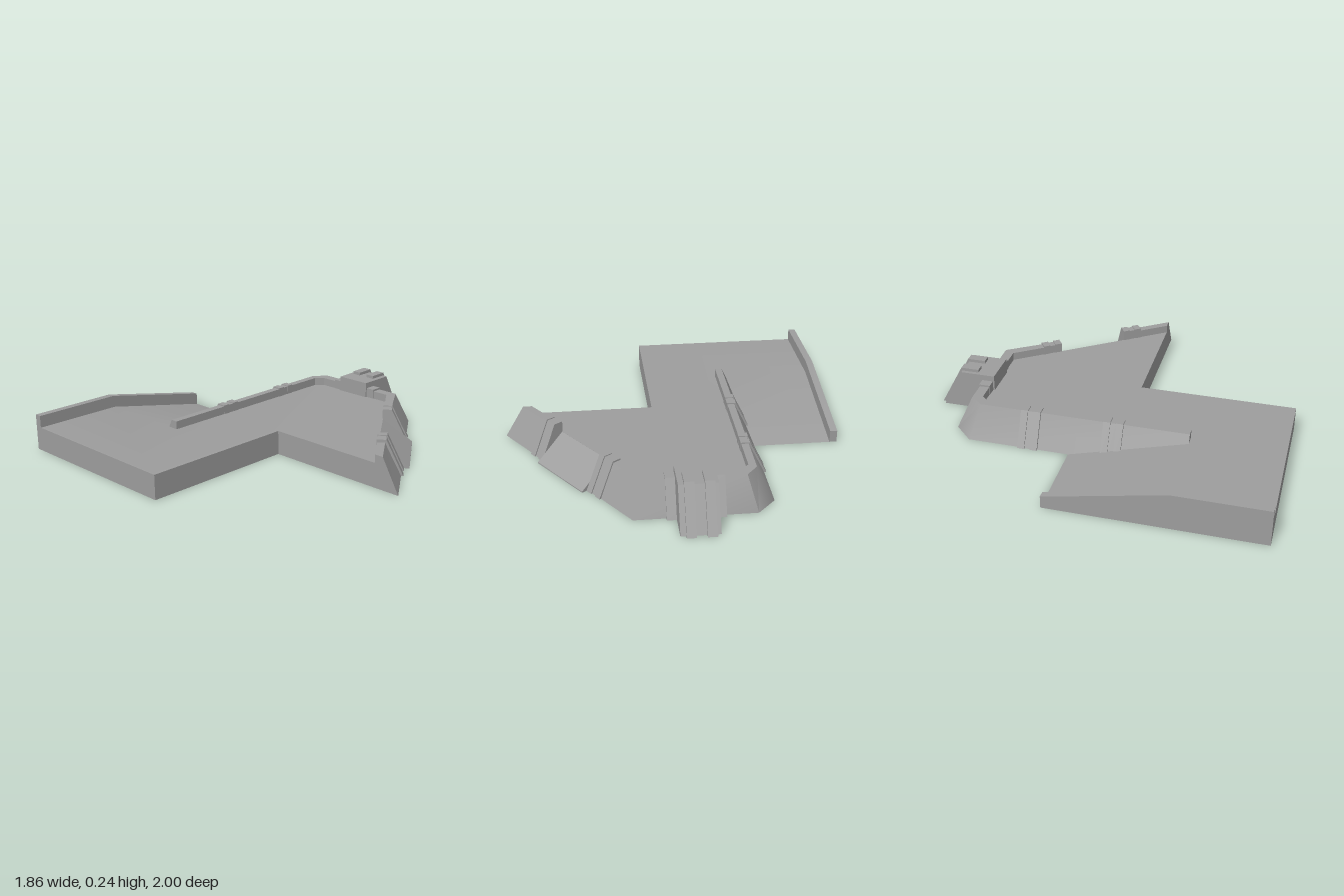
import * as THREE from 'three';
import { mergeGeometries, toCreasedNormals } from 'three/addons/utils/BufferGeometryUtils.js';

const material = new THREE.MeshStandardMaterial({ color: 0x9d9d9d });
const DECK = 0.135;
const CREASE = 0.77;

// Mesh with gentle bends smoothed and sharp edges kept
function makeMesh(name, geometry) {
  const mesh = new THREE.Mesh(toCreasedNormals(geometry, CREASE), material);
  mesh.name = name;
  return mesh;
}

// Closed solid through a row of matching convex rings of [x, y, z] points
function loft(rings) {
  const pos = [];
  const n = rings[0].length;
  const tri = (a, b, c) => pos.push(...a, ...b, ...c);
  for (let r = 0; r + 1 < rings.length; r++) {
    const p = rings[r], q = rings[r + 1];
    for (let i = 0; i < n; i++) {
      const j = (i + 1) % n;
      tri(p[i], q[i], q[j]);
      tri(p[i], q[j], p[j]);
    }
  }
  const first = rings[0], last = rings[rings.length - 1];
  for (let i = 1; i + 1 < n; i++) {
    tri(first[0], first[i], first[i + 1]);
    tri(last[0], last[i + 1], last[i]);
  }
  const geo = new THREE.BufferGeometry();
  geo.setAttribute('position', new THREE.Float32BufferAttribute(pos, 3));
  geo.computeVertexNormals();
  return geo;
}

// A straight run has an origin and a direction (x, z); outward is to its side
const makeLine = (x, z, dx, dz) => {
  const l = Math.hypot(dx, dz);
  return { x, z, dx: dx / l, dz: dz / l };
};

// Profile of [outward, height] points swept from s0 to s1 along a line
function sweep(line, s0, s1, profile) {
  const ring = s => profile.map(([o, y]) => [
    line.x + line.dx * s + line.dz * o, y, line.z + line.dz * s - line.dx * o,
  ]);
  return loft([ring(s0), ring(s1)]);
}
const prism = (name, ...args) => makeMesh(name, sweep(...args));

// Wall cross-section from its inner edge, outer top edge and foot
const wallRing = ([ix, iz, tx, tz, bx, bz]) =>
  [[ix, 0, iz], [ix, 0.18, iz], [tx, 0.18, tz], [bx, 0, bz]];

export function createModel() {
  const model = new THREE.Group();
  model.name = 'fortifiedPlatform';

  const leftLine = makeLine(-0.33, 0, 0, -1);
  const backLine = makeLine(0, -0.68, 1, 0);
  const slantLine = makeLine(0.205, -0.68, 0.565, 0.81);
  const crossLine = makeLine(0, 1, 1, 0);
  const gapStart = 0.3, gapEnd = 0.7;

  // Deck running smoothly into the long ramp
  const outline = [
    [-0.89, 1], [0.093, 1], [0.093, 0.128], [0.77, 0.128], [0.205, -0.68],
    [-0.29, -0.68], [-0.33, -0.64], [-0.33, 0.495], [-0.89, 0.495],
  ].map(p => new THREE.Vector2(...p));
  const deck = new THREE.ExtrudeGeometry(new THREE.Shape(outline), { depth: DECK, bevelEnabled: false });
  deck.rotateX(Math.PI / 2).translate(0, DECK, 0);
  deck.deleteAttribute('uv');
  const ramp = sweep(crossLine, -0.89, -0.33, [[0.505, 0], [0.505, DECK], [1.145, 0]]);
  model.add(makeMesh('deckAndLongRamp', mergeGeometries([deck, ramp])));

  // Side wall of the long ramp
  model.add(prism('rampSideWall', crossLine, -0.93, -0.89,
    [[0, 0], [0, 0.203], [0.5, 0.203], [1.145, 0.068], [1.145, 0]]));

  // Sloped wall around the deck, open where the short ramp leaves it
  const slantSection = s => [0, 0.041, 0.131].flatMap(o => [
    slantLine.x + slantLine.dx * s + slantLine.dz * o,
    slantLine.z + slantLine.dz * s - slantLine.dx * o,
  ]);
  model.add(makeMesh('mainWall', loft([
    [-0.33, 0.495, -0.37, 0.495, -0.46, 0.495],
    [-0.33, -0.64, -0.37, -0.665, -0.46, -0.71],
    [-0.29, -0.68, -0.31, -0.735, -0.36, -0.815],
    [0.205, -0.68, 0.23, -0.735, 0.275, -0.815],
    slantSection(gapStart),
  ].map(wallRing))));
  model.add(makeMesh('frontWall', loft([
    slantSection(gapEnd),
    [0.77, 0.128, 0.82, 0.128, 0.925, 0.128],
  ].map(wallRing))));

  // Short ramp through the wall
  model.add(prism('shortRamp', slantLine, gapStart, gapEnd,
    [[0, 0], [0, DECK], [0.17, 0.006], [0.17, 0]]));

  // Buttresses: two raised ribs with a lower strip between
  const places = [
    [leftLine, -0.085, 0.187], [leftLine, 0.373, 0.187],
    [slantLine, gapStart - 0.055, 0.189], [slantLine, gapEnd + 0.055, 0.196],
  ];
  places.forEach(([line, s, top], i) => {
    const rib = [[-0.003, 0], [-0.003, top], [0.048, top], [0.142, 0]];
    const strip = [[-0.001, 0], [-0.001, top - 0.005], [0.044, top - 0.005], [0.135, 0]];
    const buttress = new THREE.Group();
    buttress.name = `buttress${i + 1}`;
    buttress.add(
      prism('rib', line, s - 0.055, s - 0.016, rib),
      prism('strip', line, s - 0.016, s + 0.016, strip),
      prism('rib', line, s + 0.016, s + 0.055, rib),
    );
    model.add(buttress);
  });

  // Back bastion with shoulders and two ribs
  const bastion = new THREE.Group();
  bastion.name = 'backBastion';
  bastion.add(prism('shoulders', backLine, -0.195, 0.107,
    [[-0.003, 0], [-0.003, 0.19], [0.06, 0.19], [0.155, 0]]));
  bastion.add(prism('bastionBlock', backLine, -0.145, 0.057,
    [[-0.012, 0], [-0.012, 0.223], [0.185, 0.223], [0.3, 0]]));
  for (const x of [-0.125, -0.022]) {
    bastion.add(prism('bastionRib', backLine, x, x + 0.05,
      [[0.088, 0], [0.088, 0.24], [0.19, 0.24], [0.32, 0]]));
  }
  model.add(bastion);

  return model;
}
